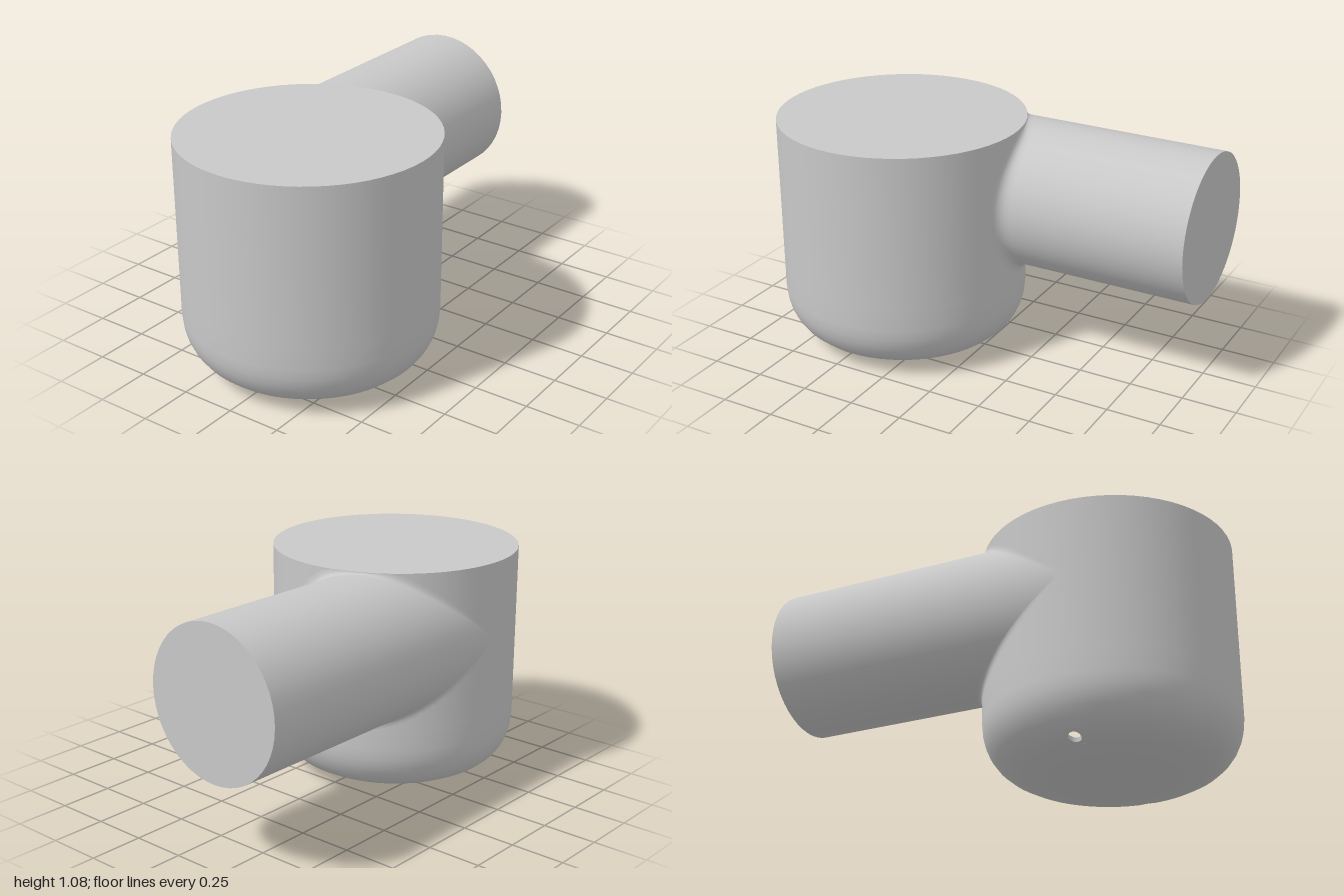
import * as THREE from 'three';
import { mergeGeometries, mergeVertices } from 'three/addons/utils/BufferGeometryUtils.js';

const R = 0.57, CZ = 0.43, TOP = 1.08, SEAM = 0.38, SEG = 64;
const PIPE = { x: -0.23, y: 0.73, r: 0.34, back: -1, front: 0.4 };
const HOLE = { d: 0.43, r: 0.028, halfR: 0.045 };

// Rounded base: radius and height, from the centre out
const PROFILE = [[0, 0], [0.2, 0.003], [0.32, 0.012], [0.385, 0.025], [0.43, 0.039], [0.475, 0.063],
  [0.51, 0.093], [0.537, 0.13], [0.555, 0.17], [0.565, 0.21], [0.57, 0.26], [0.57, SEAM]];
const HOLE_ROWS = [3, 4], HOLE_SEGMENTS = [15, 16, 47, 48];

// Grid surface from a rule (u, v) => [x, y, z], faces towards du x dv
function grid(nu, nv, rule, skip = () => false) {
  const pos = [], index = [];
  for (let j = 0; j <= nv; j++) for (let i = 0; i <= nu; i++) pos.push(...rule(i / nu, j / nv));
  for (let j = 0; j < nv; j++) for (let i = 0; i < nu; i++) {
    if (skip(i, j)) continue;
    const a = j * (nu + 1) + i, b = a + 1, c = a + nu + 1, d = c + 1;
    index.push(a, b, d, a, d, c);
  }
  const g = new THREE.BufferGeometry();
  g.setAttribute('position', new THREE.Float32BufferAttribute(pos, 3));
  g.setIndex(index);
  return g;
}

function smooth(g) {
  const m = mergeVertices(g, 1e-4);
  m.computeVertexNormals();
  return m;
}

function profileY(r) {
  const k = Math.max(1, PROFILE.findIndex(p => p[0] >= r - 1e-9));
  const [r0, y0] = PROFILE[k - 1], [r1, y1] = PROFILE[k];
  return y0 + (y1 - y0) * (r - r0) / (r1 - r0);
}

const polar = (r, angle, y) => [r * Math.sin(angle), y, CZ + r * Math.cos(angle)];

// Position around a drain hole: v = 0 on its rim, v = 1 on the edge of its patch
function holePoint(side, t, v) {
  const c = Math.cos(t), s = Math.sin(t), m = Math.max(Math.abs(c), Math.abs(s));
  const step = 2 * Math.PI / SEG;
  const a = THREE.MathUtils.lerp(c * HOLE.r / HOLE.d, c / m * step, v);
  const b = THREE.MathUtils.lerp(s * HOLE.r, s / m * HOLE.halfR, v);
  const r = HOLE.d + b;
  return polar(r, side * Math.PI / 2 + a, profileY(r));
}

export function createModel() {
  const model = new THREE.Group();
  const grey = new THREE.MeshStandardMaterial({ color: 0xc8c8c8 });
  grey.name = 'light grey';
  const add = (name, geometry, x = 0, y = 0, z = 0) => {
    const mesh = new THREE.Mesh(geometry, grey);
    mesh.name = name;
    mesh.position.set(x, y, z);
    model.add(mesh);
    return mesh;
  };

  // Straight upper wall and flat lid
  add('upperBody', new THREE.CylinderGeometry(R, R, TOP - SEAM, SEG, 1, true), 0, (TOP + SEAM) / 2, CZ);
  add('topCap', new THREE.CircleGeometry(R, SEG).rotateX(-Math.PI / 2), 0, TOP, CZ);

  // Rounded base with two small drain holes
  const rows = PROFILE.length - 1;
  const base = [grid(SEG, rows, (u, v) => {
    const [r, y] = PROFILE[Math.round(v * rows)];
    return polar(r, u * 2 * Math.PI, y);
  }, (i, j) => HOLE_ROWS.includes(j) && HOLE_SEGMENTS.includes(i))];
  for (const side of [1, -1]) {
    base.push(grid(16, 2, (u, v) => holePoint(side, -u * 2 * Math.PI, v)));
    add(side > 0 ? 'leftHoleWall' : 'rightHoleWall', smooth(grid(16, 1, (u, v) => {
      const [x, y, z] = holePoint(side, u * 2 * Math.PI, 0);
      return [x, y + v * 0.02, z];
    })));
  }
  add('roundedBase', smooth(mergeGeometries(base)));

  // Side pipe, set off centre so that it runs tangent to the body
  const length = PIPE.front - PIPE.back;
  add('pipe', new THREE.CylinderGeometry(PIPE.r, PIPE.r, length, 48, 1, true).rotateX(Math.PI / 2),
    PIPE.x, PIPE.y, (PIPE.front + PIPE.back) / 2);
  add('pipeEnd', new THREE.CircleGeometry(PIPE.r, 48).rotateY(Math.PI), PIPE.x, PIPE.y, PIPE.back);

  // Fillet where the pipe meets the body, fading out on the tangent side
  const around = (angle, r) => [
    Math.max(PIPE.x + r * Math.cos(angle), -R),
    Math.min(PIPE.y + r * Math.sin(angle), TOP - 0.002)];
  const wallZ = x => CZ - Math.sqrt(Math.max(0, R * R - x * x));
  add('pipeFillet', smooth(grid(64, 5, (u, v) => {
    const angle = u * 2 * Math.PI;
    const f = 0.05 * Math.sqrt((1 + Math.cos(angle)) / 2) + 0.001;
    const [px, py] = around(angle, PIPE.r), [bx, by] = around(angle, PIPE.r + f);
    const start = new THREE.Vector3(px, py, wallZ(px) - f);
    const corner = new THREE.Vector3(px, py, wallZ(px));
    const end = new THREE.Vector3(bx, by, wallZ(bx));
    return new THREE.QuadraticBezierCurve3(start, corner, end).getPoint(v).toArray();
  })));

  return model;
}
